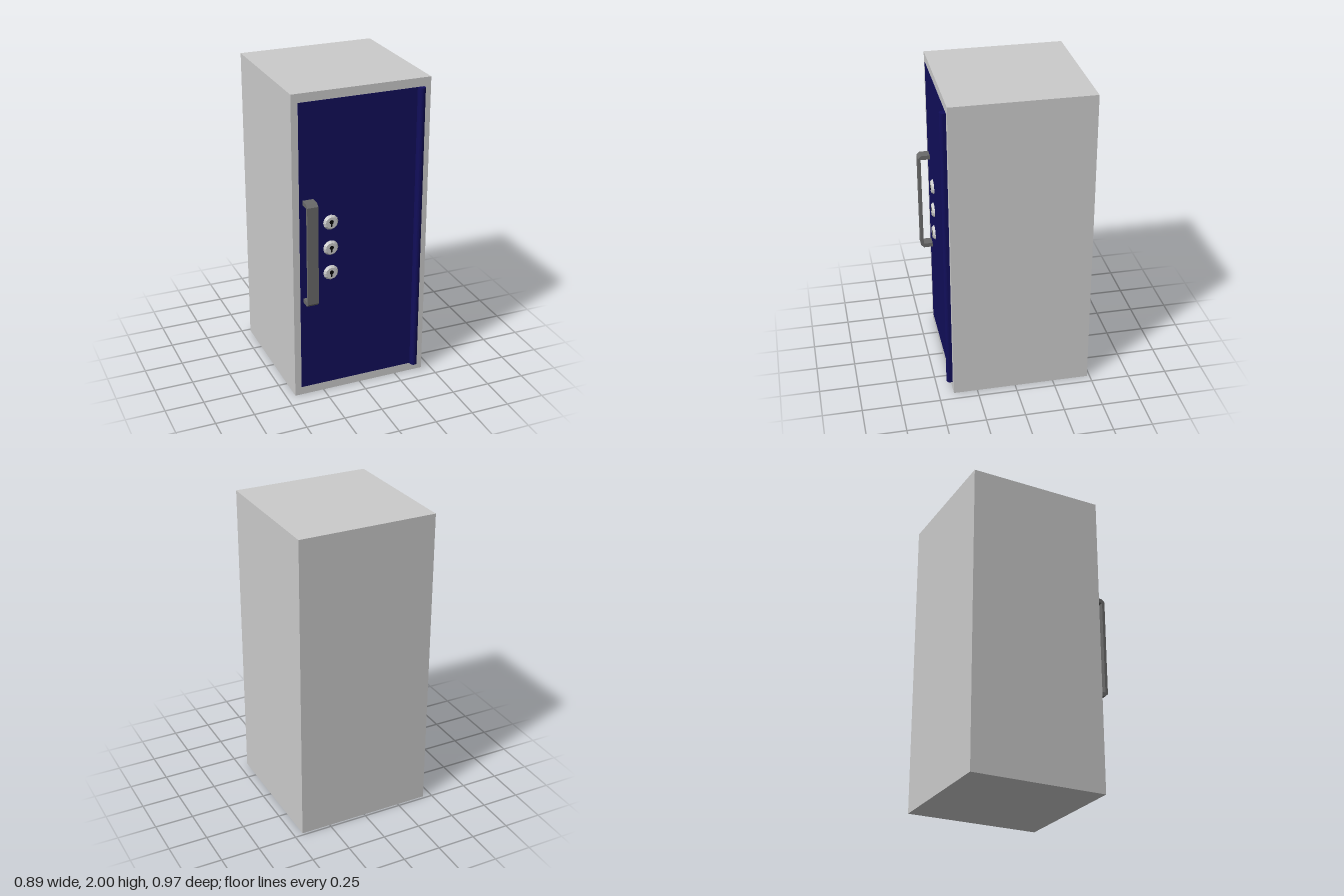
import * as THREE from 'three';

const paint = (color) => new THREE.MeshStandardMaterial({ color, flatShading: true });

export function createModel() {
  const group = new THREE.Group();
  const grey = paint(0xcccccc);
  const blue = paint(0x110e5a);
  const steel = paint(0x6a6a6a);
  const black = paint(0x050505);
  const FRONT = 0.403;

  const add = (name, geometry, material, x = 0, y = 0, z = 0, parent = group) => {
    const mesh = new THREE.Mesh(geometry, material);
    mesh.name = name;
    mesh.position.set(x, y, z);
    parent.add(mesh);
    return mesh;
  };

  // Cabinet body and the door set flush in its front
  add('cabinet', new THREE.BoxGeometry(0.886, 2, 0.886), grey, 0, 1, -0.04);
  add('door', new THREE.BoxGeometry(0.8, 1.89, 0.02), blue, 0, 1, FRONT - 0.008);

  // Full-height hinge with a rounded nose
  const r = 0.022;
  const hinge = new THREE.Shape();
  hinge.moveTo(-r, 0);
  hinge.lineTo(r, 0);
  hinge.lineTo(r, -0.016);
  hinge.absarc(0, -0.016, r, 0, Math.PI, true);
  hinge.closePath();
  const hingeGeometry = new THREE.ExtrudeGeometry(hinge, { depth: 1.89, bevelEnabled: false, curveSegments: 8 });
  hingeGeometry.rotateX(-Math.PI / 2);
  add('hinge', hingeGeometry, blue, 0.377, 0.055, FRONT - 0.001);

  // Pull handle: chamfered bracket profile (depth, height) swept sideways
  const half = [[0, 0.34], [0.06, 0.34], [0.08, 0.32]];
  const inner = [[0.062, 0.312], [0, 0.312]];
  const flip = (points) => points.map(([z, y]) => [z, -y]).reverse();
  const outline = [...half, ...flip(half), ...flip(inner), ...inner];
  const bracket = new THREE.Shape(outline.map(([z, y]) => new THREE.Vector2(z, y)));
  const handleGeometry = new THREE.ExtrudeGeometry(bracket, { depth: 0.07, bevelEnabled: false });
  handleGeometry.rotateY(-Math.PI / 2);
  add('handle', handleGeometry, steel, -0.31, 1, FRONT);

  // Keyhole outline: round top with a slot below
  const keyhole = new THREE.Shape();
  keyhole.moveTo(-0.006, -0.024);
  keyhole.lineTo(0.006, -0.024);
  keyhole.lineTo(0.006, -0.006);
  keyhole.absarc(0, 0.006, 0.0134, -1.107, Math.PI + 1.107, false);
  keyhole.lineTo(-0.006, -0.024);

  // Three tapered locks in a column
  const lockGeometry = new THREE.CylinderGeometry(0.037, 0.05, 0.016, 12);
  lockGeometry.rotateX(Math.PI / 2);
  for (const y of [0.833, 1, 1.17]) {
    const lock = new THREE.Group();
    lock.name = 'lock';
    lock.position.set(-0.2, y, FRONT);
    add('lockFace', lockGeometry, grey, 0, 0, 0.009, lock);
    add('keyhole', new THREE.ShapeGeometry(keyhole, 8), black, 0, 0, 0.018, lock);
    group.add(lock);
  }

  return group;
}
